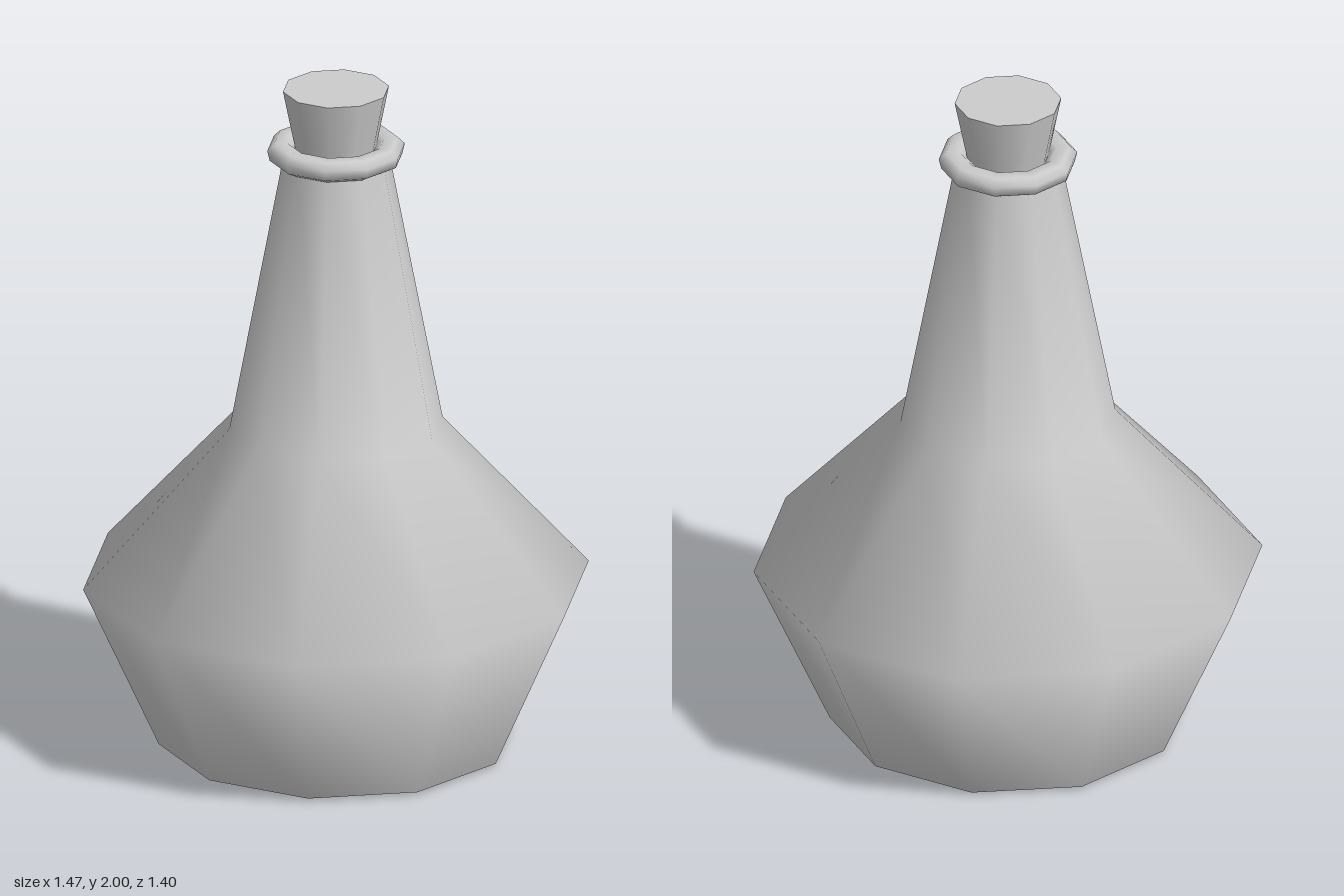
import * as THREE from 'three';

const SIDES = 10;
const material = new THREE.MeshStandardMaterial({ color: 0xcccccc });

// Ten-sided turned part with a corner on the x axis; profile runs bottom to top
function turned(name, profile) {
  const points = profile.map(([r, y]) => new THREE.Vector2(r, y));
  const mesh = new THREE.Mesh(new THREE.LatheGeometry(points, SIDES, Math.PI / 2), material);
  mesh.name = name;
  return mesh;
}

export function createModel() {
  const bottle = new THREE.Group();
  bottle.name = 'stopperedBottle';

  // Underside, very slightly bulging
  bottle.add(turned('base', [[0, 0], [0.07, 0], [0.515, 0.01]]));

  // Flared belly, shoulder and tapering neck, smooth across the rings
  bottle.add(turned('body', [[0.515, 0.01], [0.735, 0.5], [0.31, 0.97], [0.155, 1.79]]));

  // Rounded lip that rolls over into the mouth
  bottle.add(turned('lip', [
    [0.15, 1.77], [0.165, 1.775], [0.193, 1.79], [0.2, 1.82],
    [0.18, 1.84], [0.14, 1.84], [0.118, 1.82], [0.112, 1.79],
  ]));

  // Tapered stopper set into the mouth
  const stopper = new THREE.Mesh(
    new THREE.CylinderGeometry(0.154, 0.106, 0.24, SIDES, 1, false, Math.PI / 2), material);
  stopper.name = 'stopper';
  stopper.position.y = 1.88;
  bottle.add(stopper);

  return bottle;
}
